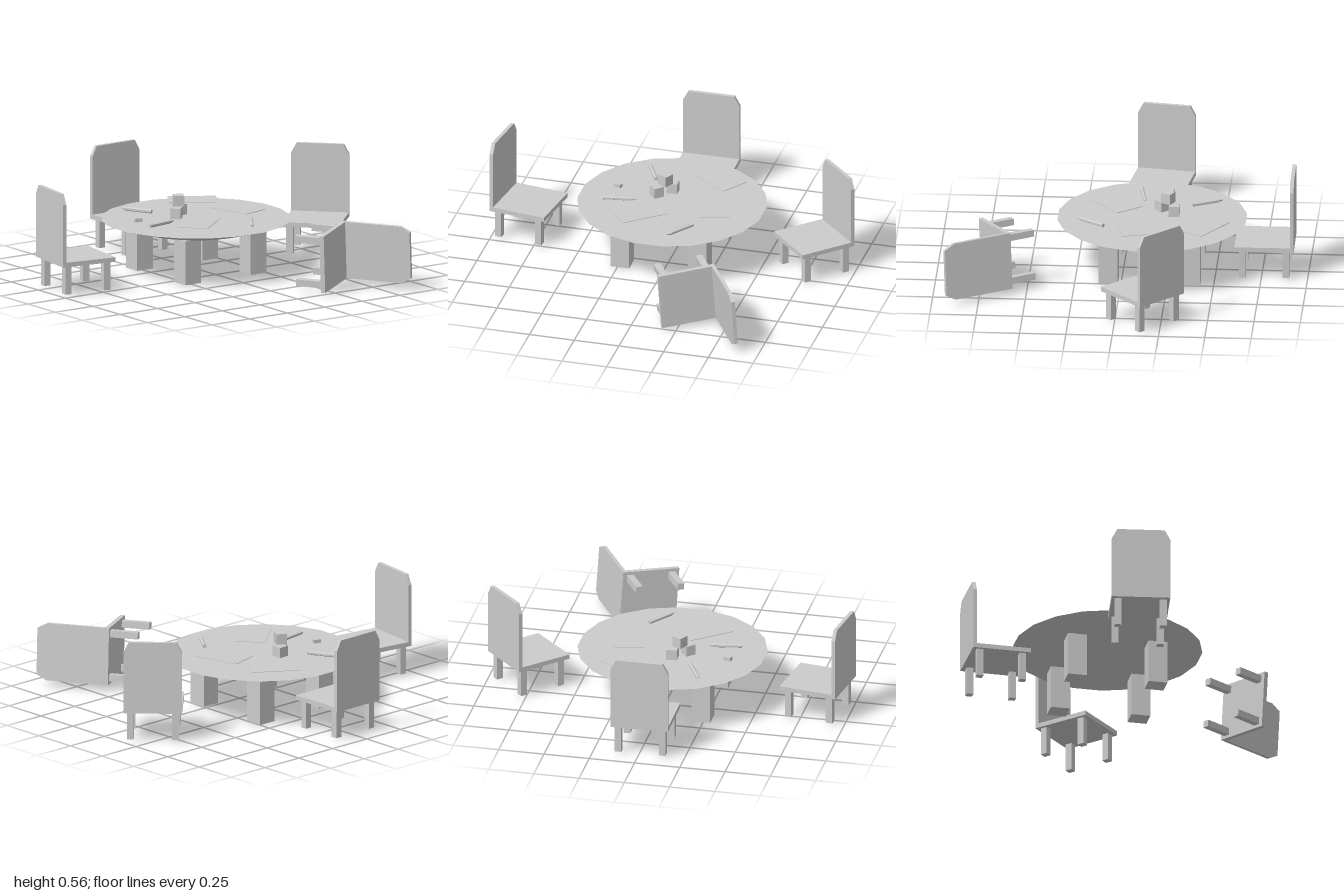
import * as THREE from 'three';

const material = new THREE.MeshStandardMaterial({ color: 0xcccccc, flatShading: true });

function add(parent, name, geometry, x, y, z, turn = 0) {
  const mesh = new THREE.Mesh(geometry, material);
  mesh.name = name;
  mesh.position.set(x, y, z);
  mesh.rotation.y = turn;
  parent.add(mesh);
  return mesh;
}

const box = (w, h, d) => new THREE.BoxGeometry(w, h, d);

// Four legs at the corners of a rectangle
function addLegs(parent, name, size, height, dx, dz) {
  for (const sx of [-1, 1]) for (const sz of [-1, 1])
    add(parent, name, box(size, height, size), sx * dx, height / 2, sz * dz);
}

// Chair facing +z, standing on its own y = 0
function createChair() {
  const chair = new THREE.Group();
  chair.name = 'chair';
  addLegs(chair, 'chairLeg', 0.037, 0.155, 0.122, 0.118);
  add(chair, 'seat', box(0.316, 0.025, 0.3), 0, 0.1675, 0.01);

  // Backrest panel with clipped upper corners
  const panel = new THREE.Shape([
    [-0.158, 0.155], [0.158, 0.155], [0.158, 0.5], [0.128, 0.555], [-0.128, 0.555], [-0.158, 0.5],
  ].map(([x, y]) => new THREE.Vector2(x, y)));
  add(chair, 'backrest', new THREE.ExtrudeGeometry(panel, { depth: 0.02, bevelEnabled: false }), 0, 0, -0.16);
  return chair;
}

// Six-sided pencil lying flat, its tip at the second point
function addPencil(parent, x0, z0, x1, z1) {
  const pencil = new THREE.Group();
  pencil.name = 'pencil';
  const length = Math.hypot(x1 - x0, z1 - z0), r = 0.011, tip = 0.03;
  const body = add(pencil, 'pencilBody', new THREE.CylinderGeometry(r, r, length - tip, 6), 0, 0, (length - tip) / 2);
  const point = add(pencil, 'pencilTip', new THREE.ConeGeometry(r, tip, 6), 0, 0, length - tip / 2);
  body.rotation.x = point.rotation.x = Math.PI / 2;
  pencil.position.set(x0, 0.305, z0);
  pencil.rotation.y = Math.atan2(x1 - x0, z1 - z0);
  parent.add(pencil);
}

export function createModel() {
  const model = new THREE.Group();
  model.name = 'tableAndChairs';

  // Round table with a tapered underside
  const table = new THREE.Group();
  table.name = 'table';
  table.position.set(-0.02, 0, -0.153);
  model.add(table);
  add(table, 'tableTop', new THREE.CylinderGeometry(0.514, 0.35, 0.046, 20), 0, 0.264, 0, Math.PI / 20);
  addLegs(table, 'tableLeg', 0.104, 0.242, 0.217, 0.222);

  // Three standing chairs: x, z, turn
  for (const [x, z, turn] of [[-0.007, -0.765, 0.01], [-0.822, -0.152, 1.425], [0.775, -0.15, -0.79]]) {
    const chair = createChair();
    chair.position.set(x, 0.01, z);
    chair.rotation.y = turn;
    model.add(chair);
  }

  // Chair tipped over onto its left side
  const fallen = createChair();
  fallen.name = 'fallenChair';
  const up = new THREE.Vector3(0.52, 0, 0.854).normalize();
  const forward = new THREE.Vector3(-0.852, -0.07, 0.519).normalize();
  const side = up.clone().cross(forward);
  fallen.quaternion.setFromRotationMatrix(new THREE.Matrix4().makeBasis(side, up, forward));
  fallen.position.set(0.21, 0.18, 0.53);
  model.add(fallen);

  // Sheets of paper: x, z, direction of the long edge
  for (const [x, z, dx, dz] of [[0.165, -0.44, 0.22, 0.145], [0.23, -0.12, 0.065, 0.257], [-0.15, 0.052, 0.205, -0.167]])
    add(model, 'paper', box(0.262, 0.003, 0.165), x, 0.314, z, Math.atan2(-dz, dx));

  // Pencils and eraser
  addPencil(model, -0.165, -0.36, -0.25, -0.525);
  addPencil(model, -0.385, -0.075, -0.2, -0.105);
  addPencil(model, 0.165, 0.1, 0.06, 0.25);
  add(model, 'eraser', box(0.04, 0.02, 0.024), -0.345, 0.304, -0.237, -0.3);

  // Stacked toy blocks
  const block = box(0.058, 0.058, 0.058);
  add(model, 'block', block, -0.046, 0.32, -0.27, 0.03);
  add(model, 'block', block, -0.118, 0.32, -0.2, 0.75);
  add(model, 'topBlock', block, -0.079, 0.379, -0.235, -0.5);
  return model;
}
